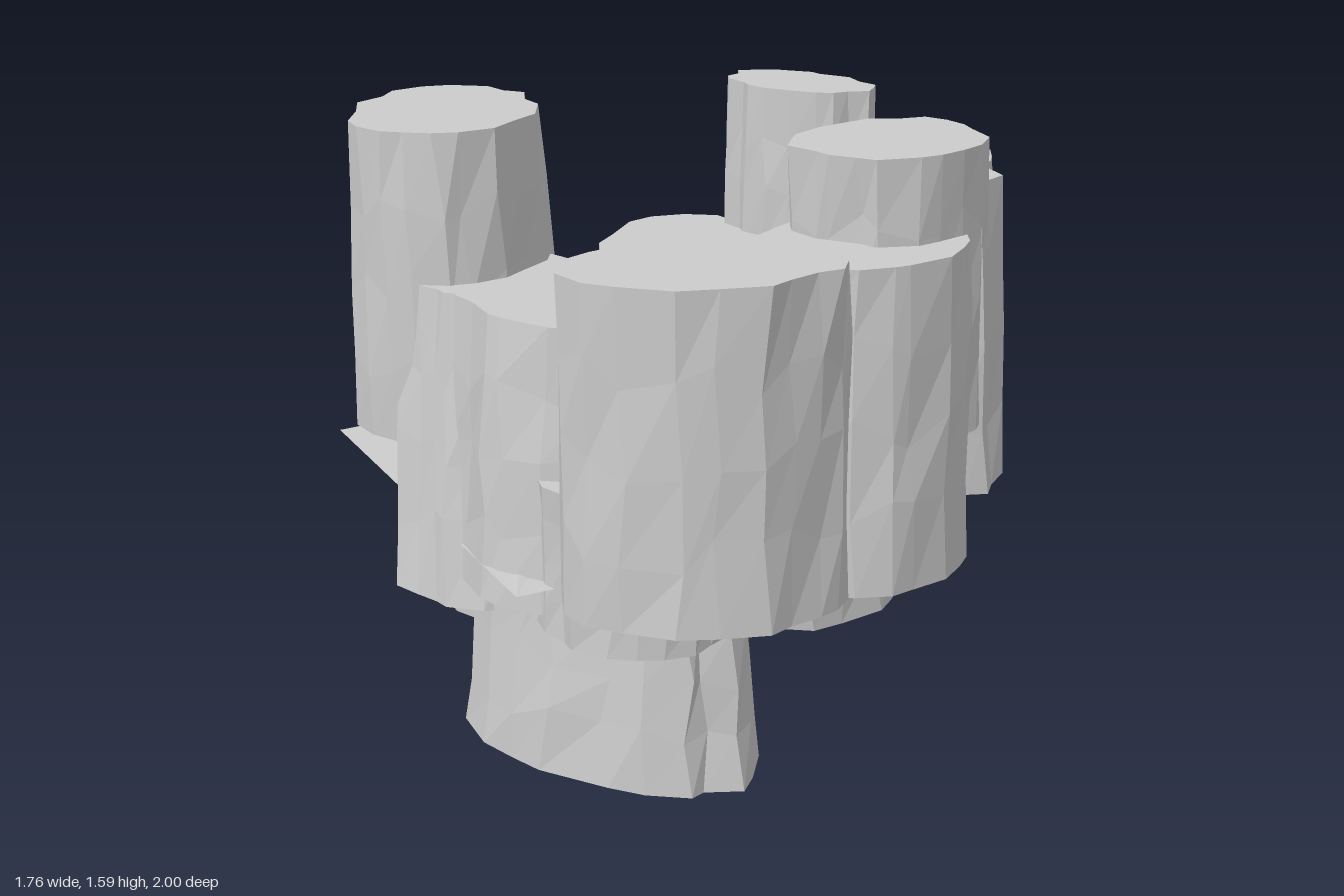
import * as THREE from 'three';

const SIDES = 20, RINGS = 4;
const rockMaterial = new THREE.MeshStandardMaterial({ color: 0xcccccc, flatShading: true });

// Small seeded generator for the rough rock faces
function seeded(seed) {
  let s = seed * 7919 + 17;
  return () => {
    s = (s * 16807) % 2147483647;
    return s / 2147483647;
  };
}

// One rough rock pillar between two oval sections.
// bottom and top are [xMin, xMax, zMin, zMax]; skew slants the oval within those limits.
function pillar({ name, y, bottom, top = bottom, skew = 0 }, index) {
  const random = seeded(index + 3);
  for (let k = 0; k < 5; k++) random();

  // Grooves run the whole height; chips differ from ring to ring
  const grooves = Array.from({ length: SIDES }, () => ({
    scale: random() < 0.25 ? 0.9 : 0.96 + 0.06 * random(),
    turn: (random() - 0.5) * 0.16,
  }));
  const chips = Array.from({ length: (RINGS + 1) * SIDES }, () => ({
    scale: (random() - 0.5) * 0.05,
    turn: (random() - 0.5) * 0.1,
    lift: (random() - 0.5) * 0.12,
  }));

  const geometry = new THREE.CylinderGeometry(1, 1, 1, SIDES, RINGS);
  const p = geometry.attributes.position;
  for (let i = 0; i < p.count; i++) {
    const v = p.getY(i) + 0.5;
    const [x0, x1, z0, z1] = bottom.map((b, j) => THREE.MathUtils.lerp(b, top[j], v));
    const centre = Math.hypot(p.getX(i), p.getZ(i)) < 0.01;
    const angle = Math.atan2(p.getZ(i), p.getX(i));
    const side = (Math.round((angle / (2 * Math.PI)) * SIDES) + SIDES) % SIDES;
    const ring = Math.round(v * RINGS);
    const groove = grooves[side];
    const chip = chips[ring * SIDES + side];
    const r = centre ? 0 : groove.scale + chip.scale;
    const a = (side / SIDES) * 2 * Math.PI + groove.turn + chip.turn;
    const lift = ring > 0 && ring < RINGS ? chip.lift : 0;
    p.setXYZ(
      i,
      (x0 + x1) / 2 + ((x1 - x0) / 2) * r * Math.cos(a),
      THREE.MathUtils.lerp(y[0], y[1], v + lift),
      (z0 + z1) / 2 + ((z1 - z0) / 2) * r * Math.sin(a + skew),
    );
  }
  geometry.computeVertexNormals();
  const mesh = new THREE.Mesh(geometry, rockMaterial);
  mesh.name = name;
  return mesh;
}

// Thin ground sheet with a notched back edge and a ragged hole
function groundSheet() {
  const shape = new THREE.Shape(
    [[-0.18, -1.0], [0.15, -0.87], [0.21, -0.92], [0.31, -0.88], [0.3, -0.81],
      [0.82, -0.6], [0.17, 0.67], [-0.83, 0.27]].map(([x, z]) => new THREE.Vector2(x, z)),
  );
  shape.holes.push(new THREE.Path(
    [[0.21, -0.7], [0.31, -0.66], [0.28, -0.57], [0.22, -0.53], [0.16, -0.56], [0.16, -0.64]]
      .map(([x, z]) => new THREE.Vector2(x, z)),
  ));
  const geometry = new THREE.ShapeGeometry(shape);
  geometry.rotateX(Math.PI / 2);
  // The sheet rises slightly away from its outer corners
  const p = geometry.attributes.position;
  for (let i = 0; i < p.count; i++) {
    const d = Math.hypot(p.getX(i) - 0.1, p.getZ(i) + 0.3);
    p.setY(i, 0.54 + 0.05 * Math.max(0, 1 - d / 0.7));
  }
  geometry.computeVertexNormals();
  const sheet = new THREE.Mesh(
    geometry,
    new THREE.MeshStandardMaterial({ color: 0xcccccc, flatShading: true, side: THREE.DoubleSide }),
  );
  sheet.name = 'groundSheet';
  return sheet;
}

const PILLARS = [
  // Tall upper pillars
  { name: 'frontRightPillar', y: [0.55, 1.39], bottom: [-0.88, -0.28, 0.34, 0.97], top: [-0.87, -0.23, 0.33, 0.93], skew: 0.35 },
  { name: 'frontPillar', y: [0.52, 1.35], bottom: [-0.35, 0.28, 0.44, 1.0], top: [-0.33, 0.3, 0.44, 0.97] },
  { name: 'frontTallPillar', y: [0.82, 1.57], bottom: [-0.08, 0.48, 0.44, 0.9], top: [-0.1, 0.49, 0.42, 0.88] },
  { name: 'frontLeftPillar', y: [0.62, 1.455], bottom: [0.18, 0.67, 0.29, 0.9], top: [0.1, 0.62, 0.3, 0.88], skew: -0.25 },
  { name: 'leftPillar', y: [0.76, 1.44], bottom: [0.48, 0.88, 0.12, 0.73], top: [0.46, 0.83, 0.2, 0.69], skew: -0.15 },
  { name: 'leftTallPillar', y: [0.99, 1.59], bottom: [0.46, 0.77, -0.17, 0.32], top: [0.47, 0.76, -0.16, 0.31] },
  { name: 'backTallPillar', y: [0.75, 1.58], bottom: [-0.6, 0.12, -0.78, -0.12], top: [-0.59, 0.06, -0.75, -0.19], skew: -0.25 },
  // Broad middle pillars
  { name: 'middlePillar', y: [0.485, 1.17], bottom: [-0.2, 0.66, -0.4, 0.46], top: [-0.17, 0.6, -0.34, 0.46], skew: -0.4 },
  { name: 'rightMiddlePillar', y: [0.45, 1.185], bottom: [-0.74, -0.18, -0.2, 0.46], top: [-0.68, -0.19, -0.22, 0.46] },
  { name: 'rightBackPillar', y: [0.37, 1.185], bottom: [-0.7, -0.2, -0.42, 0.08], top: [-0.6, -0.1, -0.46, 0.0] },
  // Lower pillars hanging beneath
  { name: 'frontLowerPillar', y: [0.33, 0.95], bottom: [-0.29, 0.43, -0.18, 0.78] },
  { name: 'rightLowerPillar', y: [0.41, 0.8], bottom: [-0.77, -0.28, 0.15, 0.66] },
  { name: 'leftLowerStep', y: [0.43, 0.75], bottom: [0.1, 0.56, -0.3, 0.23] },
  { name: 'leftLowestStep', y: [0.385, 0.7], bottom: [0.2, 0.54, -0.16, 0.17] },
  { name: 'backLowerPillar', y: [0.16, 1.0], bottom: [-0.33, 0.14, -0.6, -0.09], top: [-0.36, 0.1, -0.52, -0.05] },
  { name: 'basePillar', y: [0, 0.6], bottom: [-0.7, -0.16, -0.21, 0.69], top: [-0.65, -0.22, -0.15, 0.65] },
];

export function createModel() {
  const model = new THREE.Group();
  model.name = 'rockPillarCluster';
  PILLARS.forEach((spec, i) => model.add(pillar(spec, i)));
  model.add(groundSheet());
  return model;
}
